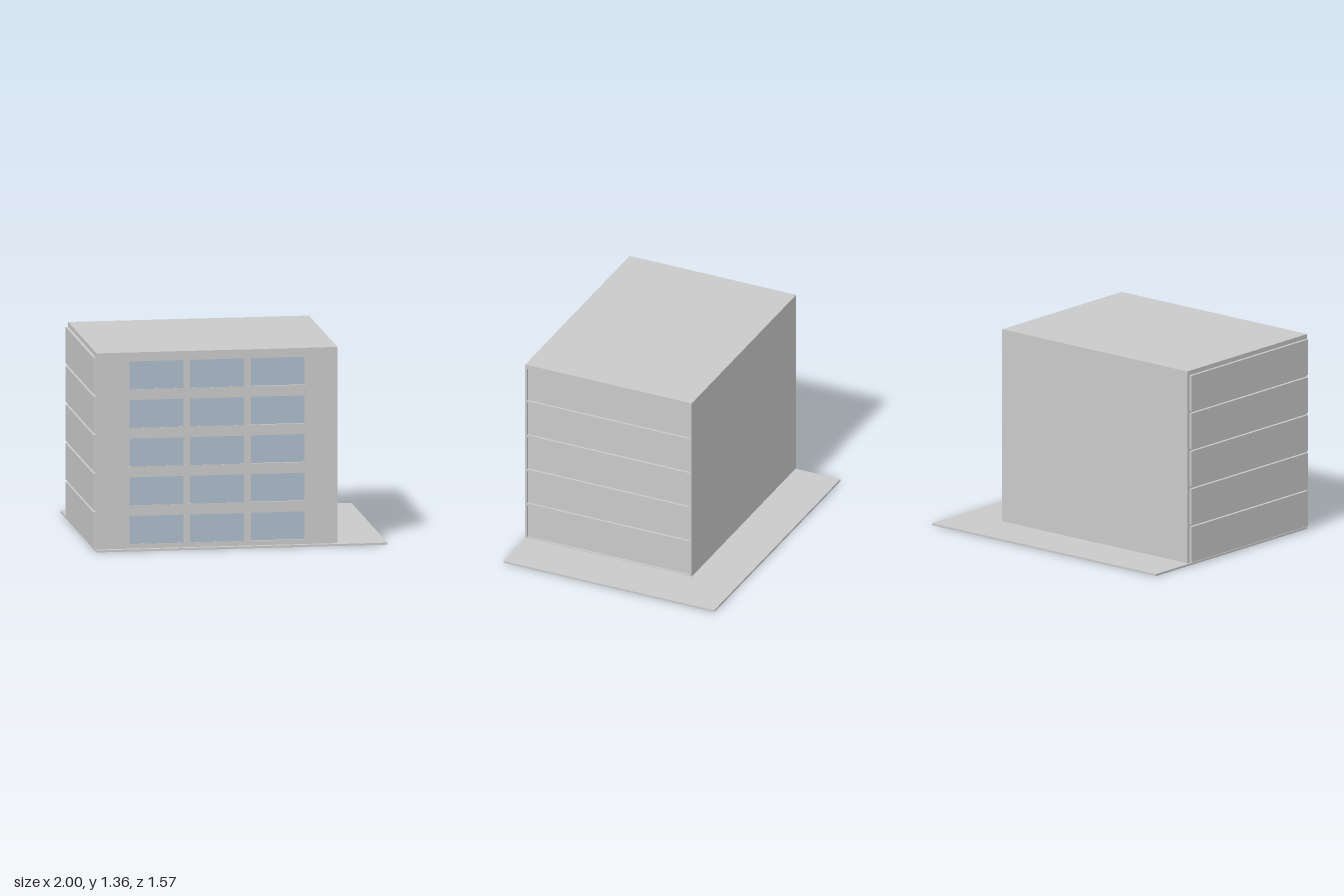
import * as THREE from 'three';

const concrete = new THREE.MeshStandardMaterial({ color: 0xcacaca });
concrete.name = 'concrete grey';
const glass = new THREE.MeshStandardMaterial({ color: 0xaebdcb });
glass.name = 'pale blue glass';

const PITCH = 0.264, FLOORS = 5, RELIEF = 0.015;

export function createModel() {
  const model = new THREE.Group();
  model.name = 'officeBuilding';

  const add = (name, geometry, material) => {
    const mesh = new THREE.Mesh(geometry, material);
    mesh.name = name;
    model.add(mesh);
    return mesh;
  };
  // Box given by its lower and upper corners
  const box = (name, x0, x1, y0, y1, z0, z1, material = concrete) =>
    add(name, new THREE.BoxGeometry(x1 - x0, y1 - y0, z1 - z0), material)
      .position.set((x0 + x1) / 2, (y0 + y1) / 2, (z0 + z1) / 2);

  const rect = (path, x0, x1, y0, y1) => {
    path.moveTo(x0, y0);
    path.lineTo(x1, y0);
    path.lineTo(x1, y1);
    path.lineTo(x0, y1);
    path.closePath();
    return path;
  };
  // Thin wall with one rectangular opening on each floor
  const piercedWall = (name, x0, x1, holeX0, holeX1, holeY0, holeY1) => {
    const shape = rect(new THREE.Shape(), x0, x1, 0.02, 1.36);
    for (let i = 0; i < FLOORS; i++) {
      const dy = i * PITCH;
      shape.holes.push(rect(new THREE.Path(), holeX0, holeX1, holeY0 + dy, holeY1 + dy));
    }
    return add(name, new THREE.ExtrudeGeometry(shape, { depth: RELIEF, bevelEnabled: false }), concrete);
  };

  // Ground plate and solid core
  box('groundPlate', -0.98, 1, 0, 0.014, -0.785, 0.785);
  box('buildingCore', -0.98, 0.645, 0.02, 1.36, -0.455, 0.77);

  // Front wall, with the left-hand window column set back
  piercedWall('frontWall', -0.98, 0.645, 0.07, 0.437, 0.05, 0.243).position.z = 0.77;

  // Left wall with recessed bays
  const leftWall = piercedWall('leftWall', -0.785, 0.455, -0.772, 0.437, 0.025, 0.273);
  leftWall.rotation.y = Math.PI / 2;
  leftWall.position.x = 0.645;

  const columns = [
    { x0: -0.757, x1: -0.388, z: 0.785 },
    { x0: -0.345, x1: 0.025, z: 0.785 },
    { x0: 0.07, x1: 0.437, z: 0.77 },
  ];
  for (let i = 0; i < FLOORS; i++) {
    const dy = i * PITCH;
    // Raised panels on the right wall
    box('rightWallPanel', -1, -0.98, 0.025 + dy, 0.273 + dy, -0.437, 0.772);
    // Windows and their sills
    for (const { x0, x1, z } of columns) {
      box('window', x0, x1, 0.05 + dy, 0.243 + dy, z - 0.001, z + 0.001, glass);
      box('windowSill', x0 - 0.008, x1 + 0.008, 0.037 + dy, 0.052 + dy, 0.769, 0.789);
    }
  }
  return model;
}
